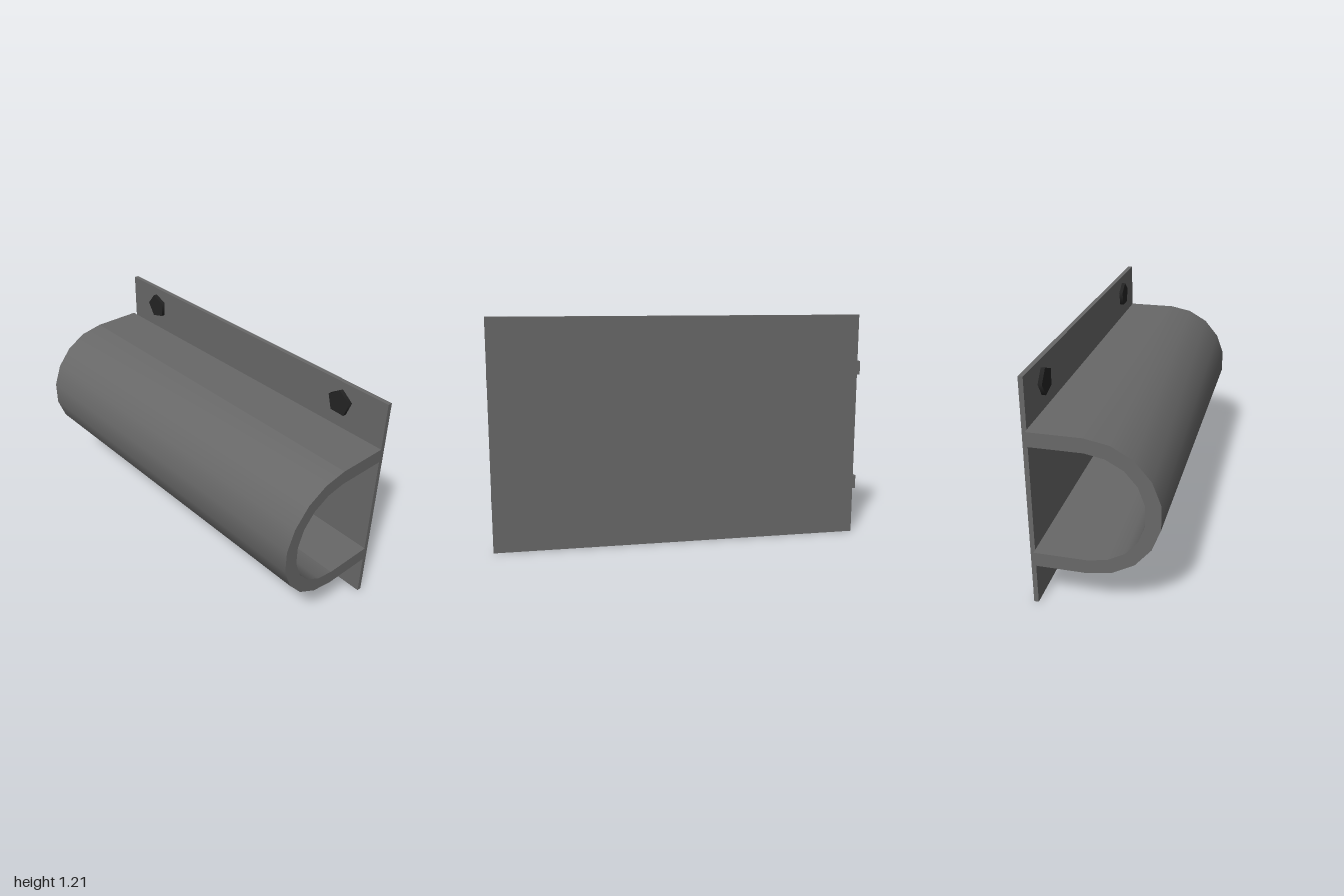
import * as THREE from 'three';
import { toCreasedNormals } from 'three/addons/utils/BufferGeometryUtils.js';

const MID_Y = 0.6; // height of the channel's centre line

// Upper half of the channel section as [z, height above the centre line]
const OUTER = [[-0.298, 0.359], [-0.03, 0.359], [0.092, 0.336], [0.2, 0.275], [0.281, 0.178], [0.324, 0.063]];
const INNER = [[-0.298, 0.285], [-0.03, 0.285], [0.067, 0.267], [0.154, 0.219], [0.217, 0.144], [0.25, 0.051]];

// Completes a half section by mirroring it below the centre line
function mirrored(half) {
  return [...half, ...half.map(([z, h]) => [z, -h]).reverse()];
}

// U-shaped channel across the full width: smooth round the bend, flat along the legs
function channelGeometry() {
  const section = [...mirrored(OUTER), ...mirrored(INNER).reverse()];
  const shape = new THREE.Shape(section.map(([z, h]) => new THREE.Vector2(-z, MID_Y + h)));
  const flat = new THREE.ExtrudeGeometry(shape, { depth: 2, bevelEnabled: false });
  flat.translate(0, 0, -1).rotateY(Math.PI / 2);
  const smooth = toCreasedNormals(flat.clone(), THREE.MathUtils.degToRad(35));
  const { position, normal } = smooth.attributes;
  const faceNormal = new THREE.Vector3();
  for (let i = 0; i < position.count; i++) {
    if (position.getZ(i) > -0.02) continue;
    faceNormal.fromBufferAttribute(flat.attributes.normal, i);
    normal.setXYZ(i, faceNormal.x, faceNormal.y, faceNormal.z);
  }
  return smooth;
}

function addMesh(group, name, geometry, material) {
  const mesh = new THREE.Mesh(geometry, material);
  mesh.name = name;
  group.add(mesh);
  return mesh;
}

export function createModel() {
  const group = new THREE.Group();
  group.name = 'mountedChannel';
  const darkGrey = new THREE.MeshStandardMaterial({ color: 0x686868 });
  const black = new THREE.MeshStandardMaterial({ color: 0x242424 });

  // Flat back plate, stopping slightly short of the channel at one end
  const plate = addMesh(group, 'backPlate', new THREE.BoxGeometry(1.97, 1.212, 0.024), darkGrey);
  plate.position.set(0.013, 0.606, -0.312);

  addMesh(group, 'channel', channelGeometry(), darkGrey);

  // Five-sided bolt heads, each turned by its own angle: x, y, degrees
  const bolts = [[-0.736, 1.102, 177], [0.725, 1.102, 88], [-0.736, 0.141, 83], [0.723, 0.141, 81]];
  const head = new THREE.CylinderGeometry(0.07, 0.07, 0.022, 5).rotateX(Math.PI / 2);
  for (const [x, y, angle] of bolts) {
    const bolt = addMesh(group, 'boltHead', head, black);
    bolt.position.set(x, y, -0.29);
    // The unturned head has a corner pointing straight down
    bolt.rotation.z = THREE.MathUtils.degToRad(angle + 90);
  }
  return group;
}
